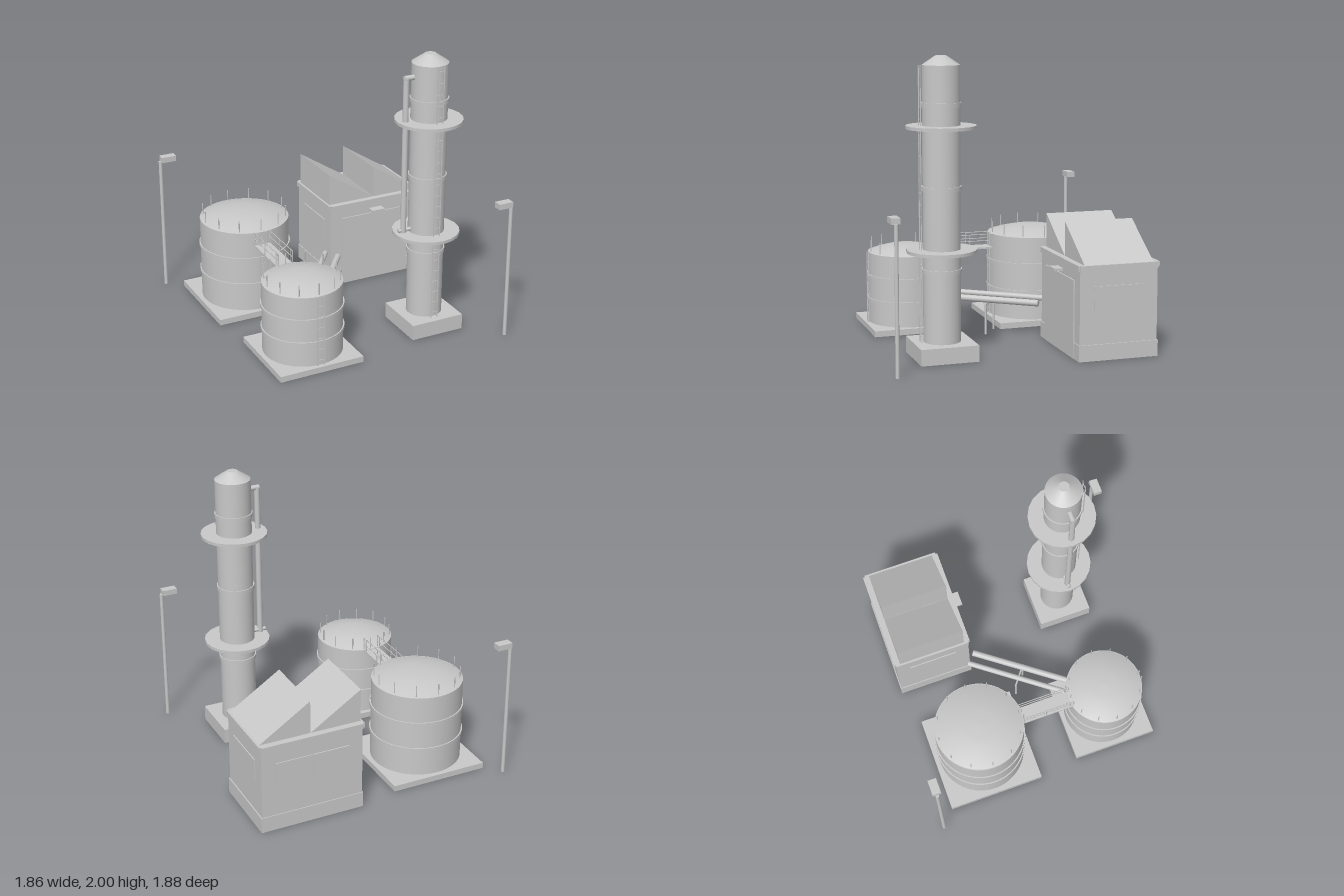
import * as THREE from 'three';

const steel = new THREE.MeshStandardMaterial({ color: 0xc8c8c8 });
steel.name = 'plain grey';

function add(parent, name, geometry, x = 0, y = 0, z = 0) {
  const mesh = new THREE.Mesh(geometry, steel);
  mesh.name = name;
  mesh.position.set(x, y, z);
  parent.add(mesh);
  return mesh;
}

// Box given by its min and max corners
function box(parent, name, x0, x1, y0, y1, z0, z1) {
  return add(parent, name, new THREE.BoxGeometry(x1 - x0, y1 - y0, z1 - z0),
    (x0 + x1) / 2, (y0 + y1) / 2, (z0 + z1) / 2);
}

// Upright cylinder from y0 to y1
function drum(parent, name, r, x, y0, y1, z, sides = 48) {
  return add(parent, name, new THREE.CylinderGeometry(r, r, y1 - y0, sides), x, (y0 + y1) / 2, z);
}

// Round bar between two points
function bar(parent, name, a, b, r, sides = 16) {
  const from = new THREE.Vector3(...a), to = new THREE.Vector3(...b);
  const dir = to.clone().sub(from);
  const mesh = add(parent, name, new THREE.CylinderGeometry(r, r, dir.length(), sides));
  mesh.position.copy(from).add(to).multiplyScalar(0.5);
  mesh.quaternion.setFromUnitVectors(new THREE.Vector3(0, 1, 0), dir.normalize());
  return mesh;
}

function group(parent, name) {
  const g = new THREE.Group();
  g.name = name;
  parent.add(g);
  return g;
}

function ladder(parent, x, y0, y1, z) {
  const g = group(parent, 'ladder');
  for (const s of [-1, 1]) {
    box(g, 'ladderRail', x + s * 0.023 - 0.003, x + s * 0.023 + 0.003, y0, y1, z - 0.003, z + 0.003);
  }
  for (let y = y0 + 0.04; y < y1; y += 0.08) {
    box(g, 'ladderRung', x - 0.023, x + 0.023, y - 0.002, y + 0.002, z - 0.002, z + 0.002);
  }
}

function tank(parent, x, z, r, top, padSize) {
  const g = group(parent, 'storageTank');
  const base = 0.042, h = top - base, p = padSize / 2;
  box(g, 'tankPad', x - p, x + p, 0, base, z - p, z + p);
  drum(g, 'tankWall', r, x, base, top, z);
  for (const t of [1 / 3, 2 / 3]) {
    const y = base + h * t;
    drum(g, 'tankBand', r + 0.009, x, y - 0.012, y + 0.012, z);
  }
  // Shallow domed roof
  const profile = [[1, 0], [0.85, 0.016], [0.68, 0.029], [0.5, 0.041], [0.3, 0.049], [0, 0.052]]
    .map(([a, b]) => new THREE.Vector2(a * r * 0.985, b));
  add(g, 'tankRoof', new THREE.LatheGeometry(profile, 48), x, top, z);
  // Posts around the rim
  for (let i = 0; i < 12; i++) {
    const a = i * Math.PI / 6, q = r * 0.935;
    drum(g, 'rimPost', 0.004, x + q * Math.cos(a), top, top + 0.088, z + q * Math.sin(a), 6);
  }
  ladder(g, x, base, top, z + r + 0.009);
}

function lampPost(parent, s) {
  const g = group(parent, 'lampPost');
  drum(g, 'lampPole', 0.0135, s * 0.914, 0, 0.985, s * 0.909, 12);
  const xs = [s * 0.91, s * 0.803].sort((a, b) => a - b);
  box(g, 'lampHead', xs[0], xs[1], 0.98, 1.02, s * 0.909 - 0.03, s * 0.909 + 0.03);
}

function walkway(parent) {
  const g = group(parent, 'walkway');
  const z0 = -0.15, z1 = 0.24, cx = -0.458;
  box(g, 'walkwayDeck', cx - 0.06, cx + 0.06, 0.535, 0.547, z0, z1);
  for (const s of [-1, 1]) {
    const x = cx + s * 0.056;
    for (const y of [0.595, 0.642]) bar(g, 'handrail', [x, y, z0], [x, y, z1], 0.0035, 6);
    for (const z of [-0.14, 0.03, 0.21, 0.24]) drum(g, 'railPost', 0.0035, x, 0.54, 0.642, z, 6);
  }
}

function pipeRun(parent) {
  const g = group(parent, 'pipeRun');
  bar(g, 'upperPipe', [-0.32, 0.265, 0.265], [0.14, 0.265, -0.342], 0.02);
  bar(g, 'lowerPipe', [-0.245, 0.247, 0.325], [0.212, 0.247, -0.282], 0.023);
  // Trestle standing under the pipes
  bar(g, 'trestleBeam', [-0.135, 0.217, -0.068], [0.008, 0.217, 0.043], 0.007, 8);
  drum(g, 'trestleLeg', 0.008, -0.124, 0, 0.217, -0.06, 8);
  drum(g, 'trestleLeg', 0.008, 0, 0, 0.217, 0.037, 8);
}

function column(parent) {
  const g = group(parent, 'tower');
  const x = 0.496, z = 0.498, r = 0.125;
  box(g, 'towerBase', x - 0.197, x + 0.199, 0, 0.11, z - 0.198, z + 0.198);
  drum(g, 'towerShell', r, x, 0.11, 1.94, z);
  add(g, 'towerCap', new THREE.CylinderGeometry(0.037, r, 0.06, 48), x, 1.97, z);
  for (const y of [0.587, 1.135, 1.683]) drum(g, 'towerBand', r + 0.008, x, y - 0.015, y + 0.015, z);
  for (const y of [0.72, 1.537]) drum(g, 'towerPlatform', 0.234, x, y - 0.011, y + 0.011, z, 20);
  ladder(g, x, 0.11, 1.94, z + r + 0.02);
  // Side pipe returning into the shell at both ends
  const px = 0.316;
  drum(g, 'sidePipe', 0.02, px, 0.74, 1.85, z, 16);
  for (const y of [0.757, 1.85]) {
    bar(g, 'pipeBranch', [px - (y < 1 ? 0.04 : 0.015), y, z], [x - 0.1, y, z], y < 1 ? 0.014 : 0.018);
  }
}

function building(parent) {
  const g = group(parent, 'building');
  const x0 = 0.178, x1 = 0.907, z0 = -0.87, z1 = -0.32, mid = (x0 + x1) / 2;
  box(g, 'buildingWalls', x0, x1, 0, 0.61, z0, z1);
  box(g, 'plinth', x0 - 0.006, x1 + 0.008, 0, 0.11, z0 - 0.006, z1 + 0.006);
  // Cornice with notched corners
  box(g, 'cornice', x0, x1, 0.605, 0.642, z0 - 0.014, z1 + 0.013);
  box(g, 'cornice', x0 - 0.015, x1 + 0.013, 0.605, 0.642, z0, z1);
  // Two sawtooth roof bays
  const w = (x1 - x0) / 2;
  const tooth = new THREE.Shape([[0, 0], [w, 0], [0, 0.235]].map(p => new THREE.Vector2(...p)));
  for (const x of [x0, mid]) {
    add(g, 'sawtoothRoof', new THREE.ExtrudeGeometry(tooth, { depth: 0.487, bevelEnabled: false }), x, 0.641, -0.838);
  }
  // Door, canopy and window panels
  box(g, 'largeDoor', 0.268, 0.812, 0, 0.53, z1, z1 + 0.009);
  box(g, 'doorCanopy', 0.49, 0.595, 0.551, 0.569, z1 - 0.01, -0.258);
  for (const x of [x0 - 0.003, x1 + 0.003]) {
    box(g, 'sideWindow', x - 0.004, x + 0.004, 0.34, 0.5, -0.77, -0.42);
  }
  for (const s of [-1, 1]) {
    const c = mid + s * 0.135;
    box(g, 'backWindow', c - 0.13, c + 0.13, 0.34, 0.5, z0 - 0.008, z0);
  }
}

export function createModel() {
  const model = new THREE.Group();
  model.name = 'processPlant';
  tank(model, -0.457, -0.459, 0.32, 0.642, 0.706);
  tank(model, -0.455, 0.497, 0.276, 0.55, 0.615);
  walkway(model);
  pipeRun(model);
  column(model);
  building(model);
  for (const s of [-1, 1]) lampPost(model, s);
  return model;
}
